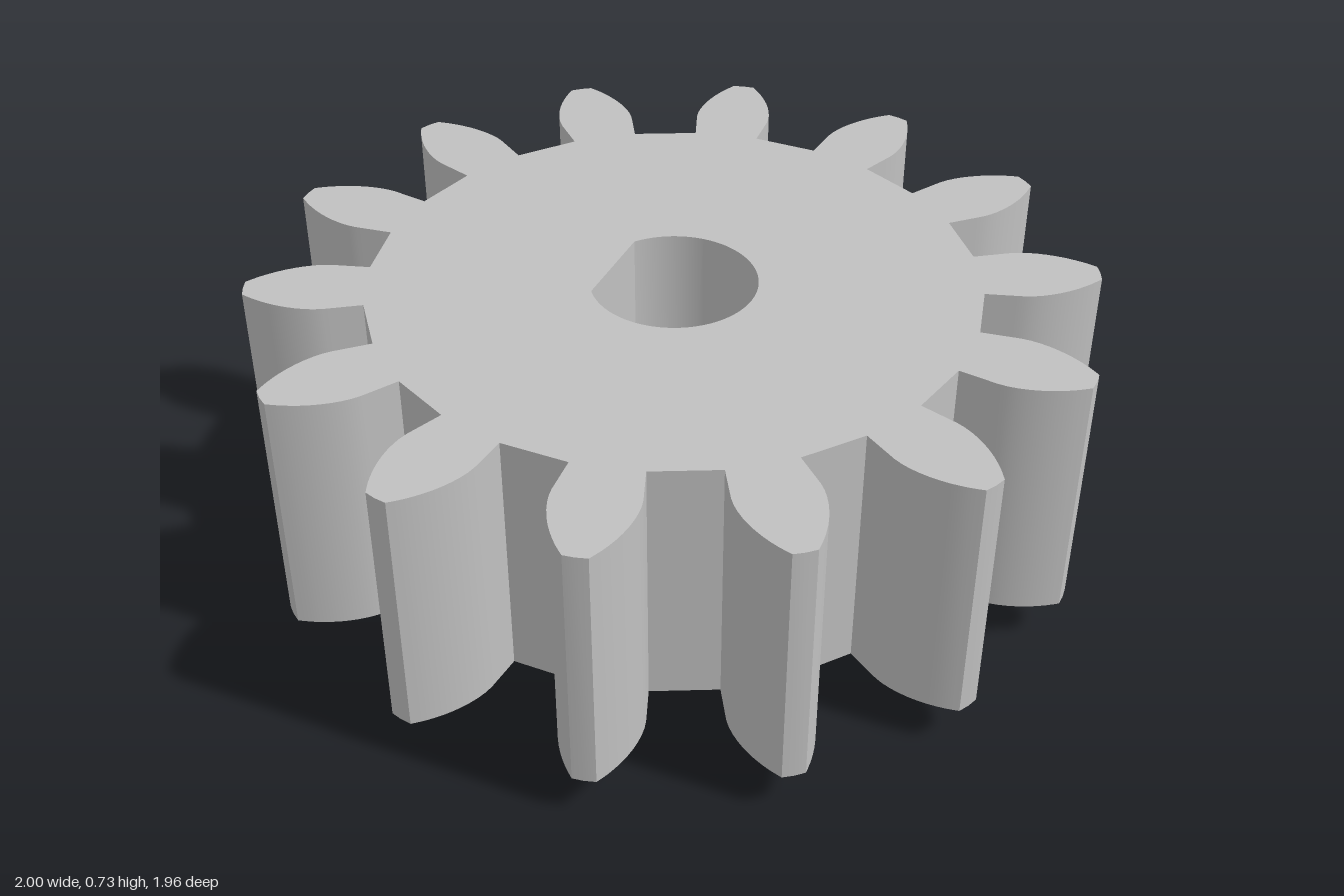
import * as THREE from 'three';
import { toCreasedNormals } from 'three/addons/utils/BufferGeometryUtils.js';

const TEETH = 14;
const BORE_RADIUS = 0.197;
const BORE_FLAT = 0.157; // distance of the flat from the axis, on the -x side

// D-shaped shaft bore
function borePath() {
  const a = Math.PI - Math.acos(BORE_FLAT / BORE_RADIUS);
  const path = new THREE.Path();
  path.absarc(0, 0, BORE_RADIUS, -a, a, false);
  path.closePath();
  return path;
}

// One tooth outline around +x: [distance from axis, half width]
function toothOutline() {
  const flank = new THREE.SplineCurve([
    [0.714, 0.081], [0.77, 0.089], [0.82, 0.095], [0.87, 0.089],
    [0.92, 0.073], [0.965, 0.05], [0.998, 0.027],
  ].map(([x, y]) => new THREE.Vector2(x, -y))).getPoints(14);
  const tip = new THREE.Vector2(1, 0);
  const mirrored = flank.map((p) => new THREE.Vector2(p.x, -p.y)).reverse();
  return [...flank, tip, ...mirrored];
}

function gearShape() {
  const tooth = toothOutline();
  const origin = new THREE.Vector2();
  const points = [];
  for (let i = 0; i < TEETH; i++) {
    const angle = (i / TEETH) * Math.PI * 2;
    for (const p of tooth) points.push(p.clone().rotateAround(origin, angle));
  }
  return new THREE.Shape(points);
}

function hubShape() {
  return new THREE.Shape().absarc(0, 0, 0.447, 0, Math.PI * 2, false);
}

// Extrude a bored outline upward from y0 to y1
function boredPlate(name, shape, y0, y1, material) {
  shape.holes.push(borePath());
  const geometry = new THREE.ExtrudeGeometry(shape, {
    depth: y1 - y0, bevelEnabled: false, curveSegments: 48,
  });
  geometry.rotateX(-Math.PI / 2);
  geometry.translate(0, y0, 0);
  const mesh = new THREE.Mesh(toCreasedNormals(geometry, 0.45), material);
  mesh.name = name;
  return mesh;
}

export function createModel() {
  const steel = new THREE.MeshStandardMaterial({ color: 0xc0c0c0 });
  steel.name = 'light grey';

  const group = new THREE.Group();
  group.name = 'spurGear';
  group.add(boredPlate('toothedWheel', gearShape(), 0.105, 0.728, steel));
  group.add(boredPlate('hub', hubShape(), 0, 0.105, steel));
  return group;
}
